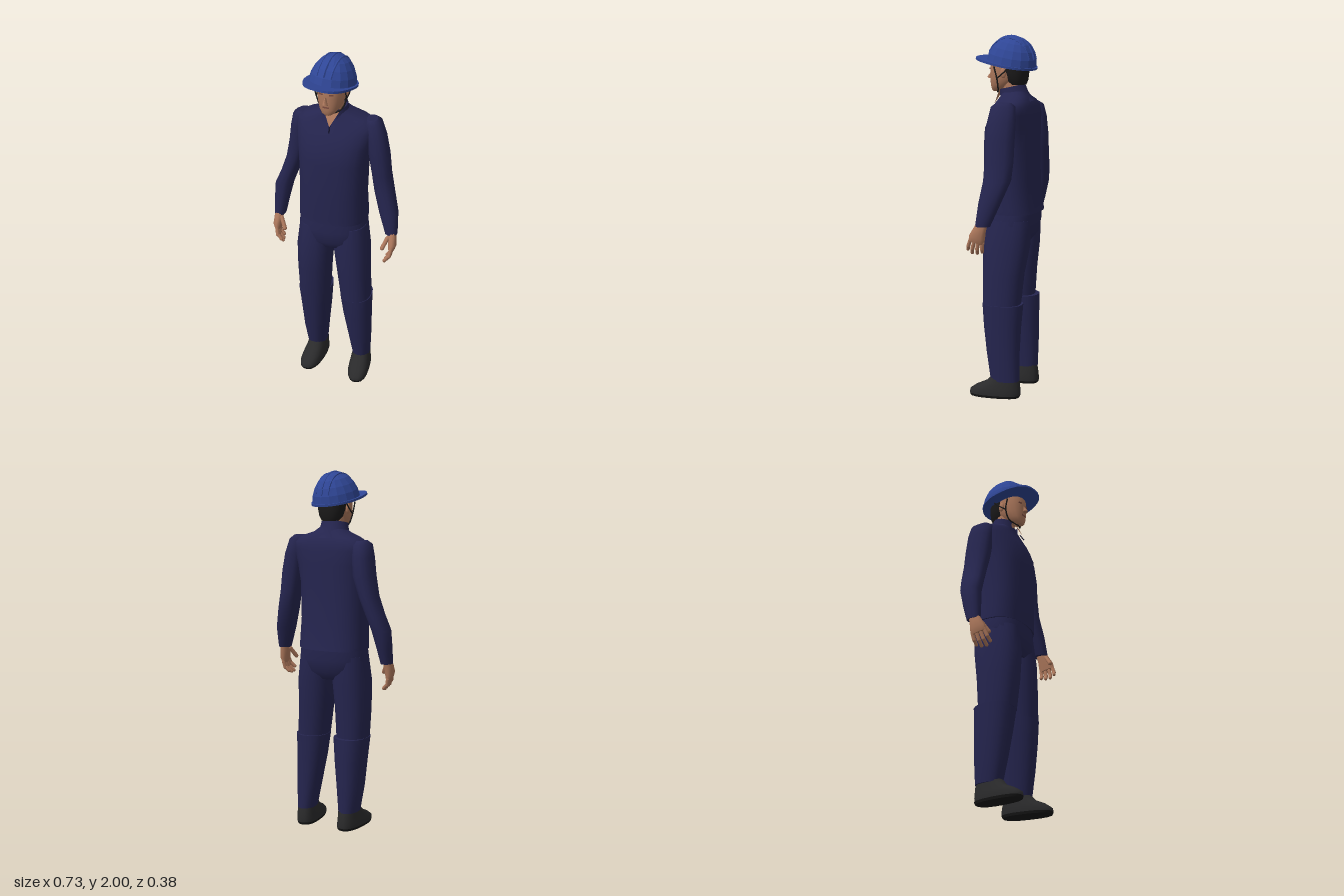
import * as THREE from 'three';

const mat = (name, color, extra = {}) => {
  const m = new THREE.MeshStandardMaterial({ color, ...extra });
  m.name = name;
  return m;
};

// Closed skin over horizontal rings [y, cx, cz, rx, rz], turned by yaw; n squares off the ellipse
function loft(rings, { seg = 18, n = 2.3, yaw = 0 } = {}) {
  const rows = [...rings].sort((a, b) => a[0] - b[0]);
  const pos = [], idx = [], c = Math.cos(yaw), s = Math.sin(yaw);
  const pw = v => Math.sign(v) * Math.abs(v) ** (2 / n);
  const ring = ([y, cx, cz, rx, rz]) => {
    for (let i = 0; i < seg; i++) {
      const a = i / seg * Math.PI * 2;
      const x = rx * pw(Math.cos(a)), z = rz * pw(Math.sin(a));
      pos.push(cx + x * c - z * s, y, cz + x * s + z * c);
    }
  };
  rows.forEach(ring);
  for (let r = 0; r < rows.length - 1; r++) for (let i = 0; i < seg; i++) {
    const a = r * seg + i, b = r * seg + (i + 1) % seg;
    idx.push(a, a + seg, b, b, a + seg, b + seg);
  }
  [rows[0], rows[rows.length - 1]].forEach((row, top) => {
    const base = pos.length / 3;
    ring(row);
    pos.push(row[1], row[0], row[2]);
    for (let i = 0; i < seg; i++) {
      const a = base + i, b = base + (i + 1) % seg;
      idx.push(base + seg, top ? b : a, top ? a : b);
    }
  });
  const g = new THREE.BufferGeometry();
  g.setAttribute('position', new THREE.Float32BufferAttribute(pos, 3));
  g.setIndex(idx);
  g.computeVertexNormals();
  return g;
}

function tube(points, radius, sides = 6) {
  const curve = new THREE.CatmullRomCurve3(points.map(p => new THREE.Vector3(...p)));
  return new THREE.TubeGeometry(curve, 16, radius, sides);
}

export function createModel() {
  const model = new THREE.Group();
  model.name = 'worker';
  const navy = mat('navy cloth', 0x25254f, { side: THREE.DoubleSide });
  const seam = mat('dark seam', 0x12122a);
  const blue = mat('blue helmet', 0x2f4696, { flatShading: true });
  const skin = mat('skin', 0xad785c, { side: THREE.DoubleSide });
  const shade = mat('lips and eyes', 0x7c4c40);
  const black = mat('black hair and strap', 0x1b1a1a);
  const shoe = mat('shoe', 0x2a2a2b);
  const sole = mat('sole', 0x161616);
  const add = (name, geometry, material, parent = model) => {
    const m = new THREE.Mesh(geometry, material);
    m.name = name;
    parent.add(m);
    return m;
  };
  const group = (name, x, y, z, parent = model) => {
    const g = new THREE.Group();
    g.name = name;
    g.position.set(x, y, z);
    parent.add(g);
    return g;
  };

  // Jacket, turned slightly towards the right
  add('jacket', loft([
    [1.035, -.014, -.032, .193, .15], [1.06, -.014, -.03, .193, .148], [1.2, -.014, -.02, .187, .143],
    [1.4, -.012, -.018, .192, .14], [1.5, -.008, -.024, .205, .135], [1.58, -.003, -.04, .222, .115],
    [1.62, 0, -.045, .22, .1], [1.648, 0, -.045, .175, .088], [1.675, -.004, -.04, .1, .075], [1.7, -.008, -.035, .07, .062],
  ], { seg: 24, n: 2.5, yaw: .13 }), navy);
  const collar = add('collar', new THREE.LatheGeometry(
    [[.108, -.06], [.085, -.02], [.074, .04]].map(p => new THREE.Vector2(...p)), 18, .45, Math.PI * 2 - .9), navy);
  collar.position.set(-.012, 1.685, -.028);
  collar.rotation.set(.22, -.15, 0);
  collar.scale.z = .95;
  const neckline = new THREE.BufferGeometry().setFromPoints(
    [[-.055, 1.7, .045], [-.018, 1.625, .086], [.028, 1.7, .048]].map(p => new THREE.Vector3(...p)));
  neckline.computeVertexNormals();
  add('openNeckline', neckline, skin);
  const slit = add('collarSlit', new THREE.BoxGeometry(.007, .04, .006), seam);
  slit.position.set(-.018, 1.61, .085);
  slit.rotation.x = -.6;

  // Sleeves: the left one swings forward
  add('rightSleeve', loft([
    [1.635, -.19, -.08, .03, .04], [1.615, -.197, -.085, .05, .068], [1.55, -.205, -.092, .055, .077],
    [1.45, -.215, -.1, .058, .077], [1.34, -.243, -.105, .05, .07], [1.24, -.28, -.105, .047, .067],
    [1.16, -.312, -.1, .05, .06], [1.06, -.326, -.085, .04, .051], [.97, -.335, -.07, .031, .04],
  ], { seg: 14, yaw: .15 }), navy);
  add('leftSleeve', loft([
    [1.65, .195, -.02, .03, .04], [1.63, .2, -.02, .05, .066], [1.55, .22, -.015, .058, .077],
    [1.45, .238, -.01, .06, .08], [1.34, .253, -.01, .056, .078], [1.24, .27, -.004, .057, .075],
    [1.12, .302, .03, .054, .06], [1.0, .325, .062, .035, .041],
  ], { seg: 14, yaw: -.1 }), navy);

  // Hands: s is the outward direction, fingers curl inwards
  for (const [side, s, x, y, z] of [['right', -1, -.336, .985, -.068], ['left', 1, .328, 1.012, .064]]) {
    const hand = group(side + 'Hand', x, y, z);
    hand.rotation.set(-.27, 0, -s * .04);
    add('palm', loft([
      [.01, 0, 0, .024, .03], [-.03, s * .006, .004, .025, .035], [-.075, s * .012, .006, .024, .045],
      [-.105, s * .01, .004, .017, .043],
    ], { seg: 12 }), skin, hand);
    for (let i = 0; i < 4; i++) {
      const len = [.036, .046, .05, .042][i];
      const finger = group('finger', s * .011, -.097, -.031 + i * .023, hand);
      finger.rotation.set((1.5 - i) * .06, 0, -s * .15);
      add('knuckle', new THREE.CapsuleGeometry(.011, len, 3, 7), skin, finger).position.y = -len / 2;
      const tip = add('fingertip', new THREE.CapsuleGeometry(.0098, len * .7, 3, 7), skin, finger);
      tip.position.set(-s * .011, -len - len * .33, 0);
      tip.rotation.z = -s * .5;
    }
    const thumb = add('thumb', new THREE.CapsuleGeometry(.012, .065, 3, 7), skin, hand);
    thumb.position.set(-s * .026, -.066, .036);
    thumb.rotation.set(-.3, 0, -s * .35);
  }

  // Trousers
  add('trouserSeat', loft([
    [1.06, -.014, -.03, .183, .142], [.98, -.014, -.027, .193, .143], [.91, -.012, -.022, .19, .133], [.865, -.012, -.018, .13, .1],
  ], { seg: 24, n: 2.5, yaw: .06 }), navy);
  add('rightThigh', loft([
    [1.0, -.108, -.03, .095, .125], [.85, -.116, -.02, .104, .132], [.7, -.121, -.015, .097, .12], [.52, -.122, -.02, .089, .104],
  ]), navy);
  add('leftThigh', loft([
    [1.0, .082, -.022, .095, .125], [.85, .093, -.012, .103, .13], [.7, .107, .002, .095, .116], [.52, .123, .008, .087, .106],
  ]), navy);
  add('rightTrouserLeg', loft([
    [.535, -.121, -.033, .094, .118], [.4, -.12, -.043, .083, .107], [.25, -.122, -.055, .07, .093], [.11, -.119, -.068, .054, .076],
  ], { yaw: .15 }), navy);
  add('leftTrouserLeg', loft([
    [.53, .124, .002, .092, .114], [.4, .132, .002, .081, .104], [.25, .145, -.005, .067, .092], [.095, .155, -.018, .051, .081],
  ]), navy);

  // Shoes
  for (const [side, x, z, turn, lift] of [['right', -.128, -.008, -.2, .008], ['left', .154, .04, 0, 0]]) {
    const foot = group(side + 'Shoe', x, lift, z);
    foot.rotation.y = turn;
    add('upper', loft([
      [.014, 0, 0, .06, .145], [.035, 0, -.002, .061, .144], [.058, 0, -.017, .057, .126],
      [.085, 0, -.045, .052, .095], [.13, 0, -.06, .045, .07],
    ], { n: 2.5 }), shoe, foot);
    add('sole', loft([[0, 0, 0, .057, .14], [.014, 0, 0, .061, .146]], { n: 2.5 }), sole, foot);
  }

  // Head, facing slightly towards the right
  add('neck', loft([[1.62, -.01, -.035, .06, .06], [1.7, -.012, -.025, .053, .056], [1.78, -.012, -.02, .053, .06]]), skin);
  const head = group('head', -.012, 0, 0);
  head.rotation.y = -.2;
  add('face', loft([
    [1.695, 0, .074, .02, .018], [1.705, 0, .064, .036, .036], [1.73, 0, .042, .055, .062], [1.765, 0, .022, .067, .084],
    [1.8, 0, .01, .073, .097], [1.85, 0, .004, .076, .102], [1.91, 0, 0, .07, .09],
  ]), skin, head);
  add('hair', loft([
    [1.735, 0, -.056, .05, .04], [1.76, 0, -.05, .066, .056], [1.8, 0, -.044, .076, .066], [1.88, 0, -.04, .08, .07],
  ]), black, head);
  const nose = add('nose', new THREE.ConeGeometry(.018, .05, 4), skin, head);
  nose.position.set(0, 1.79, .109);
  nose.rotation.x = -.3;
  const lips = add('lips', new THREE.BoxGeometry(.036, .009, .008), shade, head);
  lips.position.set(0, 1.746, .101);
  for (const s of [-1, 1]) {
    const eye = add('eye', new THREE.BoxGeometry(.024, .008, .006), shade, head);
    eye.position.set(s * .03, 1.82, .1);
    eye.rotation.y = s * .3;
    const ear = add('ear', new THREE.SphereGeometry(.02, 10, 8), skin, head);
    ear.scale.set(.5, 1.4, .9);
    ear.position.set(s * .077, 1.8, 0);
    add('chinStrap', tube([[s * .09, 1.835, .05], [s * .084, 1.77, .035], [s * .058, 1.715, .04], [0, 1.69, .07]], .0042), black, head);
    add('rearStrap', tube([[s * .09, 1.835, -.04], [s * .088, 1.805, -.01], [s * .084, 1.77, .035]], .004), black, head);
  }

  // Hard hat, tipped back a little
  const hat = group('hardHat', -.018, 1.845, -.012);
  hat.rotation.set(-.18, -.25, -.05, 'YXZ');
  const profile = [[0, .124, .14], [.045, .116, .134], [.085, .099, .117], [.12, .074, .09], [.143, .043, .057], [.153, .014, .02]];
  add('shell', loft(profile.map(([y, rx, rz]) => [y, 0, 0, rx, rz]), { seg: 16, n: 2.1 }), blue, hat);
  const outline = [];
  for (let i = 0; i < 32; i++) {
    const a = i / 32 * Math.PI * 2, c = Math.cos(a), s = Math.sin(a);
    const front = s > 0;
    outline.push(new THREE.Vector2(.134 * Math.sign(c) * Math.abs(c) ** (front ? .75 : 1), (front ? .205 : .146) * (front ? s ** .9 : s)));
  }
  const brim = add('brim', new THREE.ExtrudeGeometry(new THREE.Shape(outline), { depth: .012, bevelEnabled: false }), blue, hat);
  brim.rotation.x = Math.PI / 2;
  brim.position.y = .006;
  // Raised ribs along the crown
  for (const x of [-.04, 0, .04]) {
    const k = Math.sqrt(1 - (x / .124) ** 2);
    const points = [];
    for (let i = 0; i <= 8; i++) {
      const a = Math.PI * (.1 + .8 * i / 8);
      points.push([x, .151 * k * Math.sin(a) ** .95, .137 * k * Math.cos(a)]);
    }
    add('crownRib', tube(points, x ? .006 : .008, 5), blue, hat);
  }
  return model;
}
